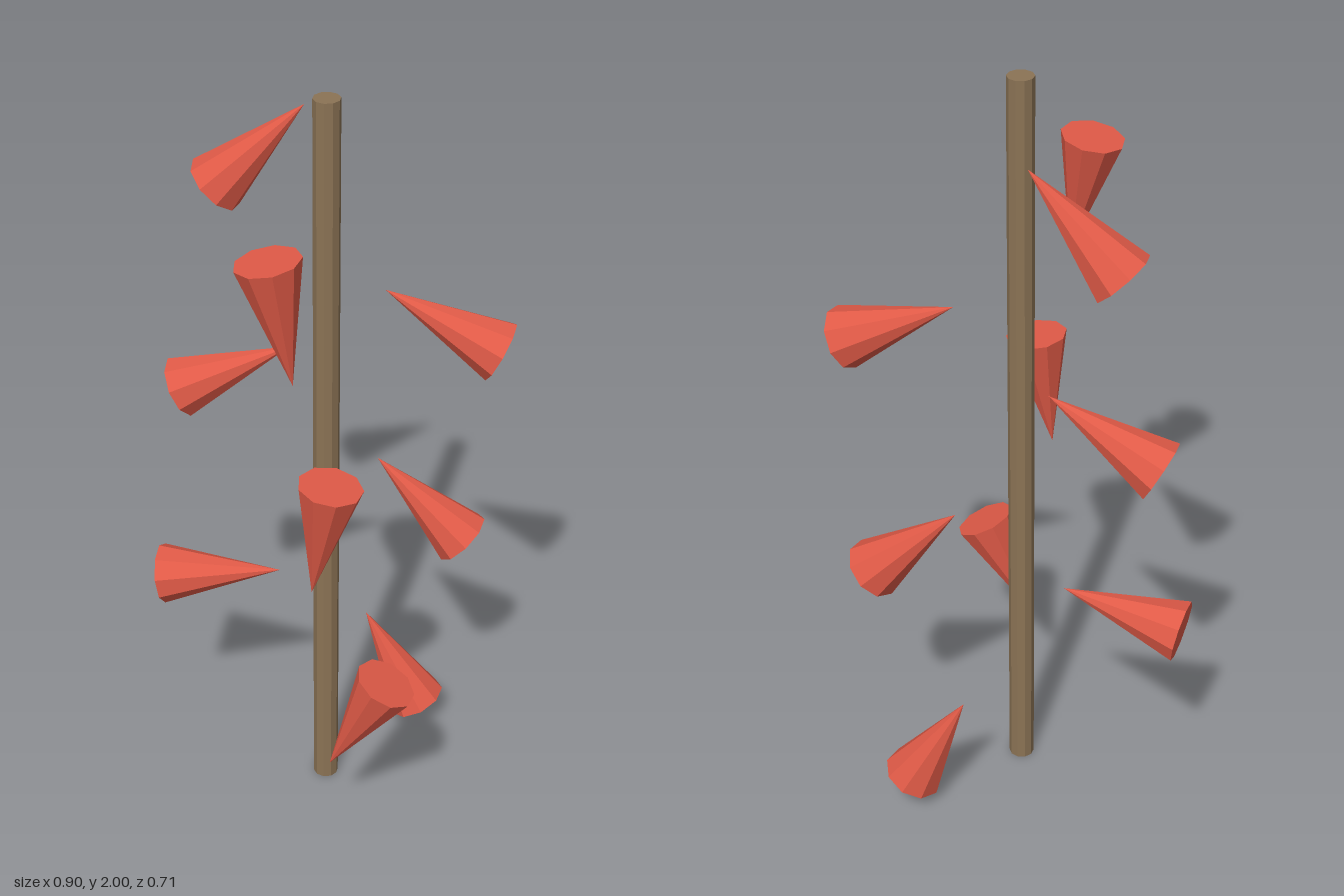
import * as THREE from 'three';

export function createModel() {
  const model = new THREE.Group();
  const centre = { x: 0.007, z: -0.013 };

  // Upright pole
  const pole = new THREE.Mesh(
    new THREE.CylinderGeometry(0.033, 0.033, 2, 10),
    new THREE.MeshStandardMaterial({ color: 0x8b7355, flatShading: true })
  );
  pole.name = 'pole';
  pole.position.set(centre.x, 1, centre.z);
  model.add(pole);

  // Cones spiralling up around the pole, each tilted in step with its turn
  const coneGeometry = new THREE.ConeGeometry(0.08, 0.32, 9).rotateY(Math.PI);
  const coneMaterial = new THREE.MeshStandardMaterial({ color: 0xe05a47, flatShading: true });
  const spiralRadius = 0.295;
  for (let i = 0; i < 9; i++) {
    const turn = 0.48 + 2.2 * i;
    const cone = new THREE.Mesh(coneGeometry, coneMaterial);
    cone.name = `cone${i + 1}`;
    cone.position.set(
      centre.x + spiralRadius * Math.sin(turn),
      0.212 + 0.1945 * i,
      centre.z - spiralRadius * Math.cos(turn)
    );
    cone.rotation.z = turn;
    model.add(cone);
  }
  return model;
}
